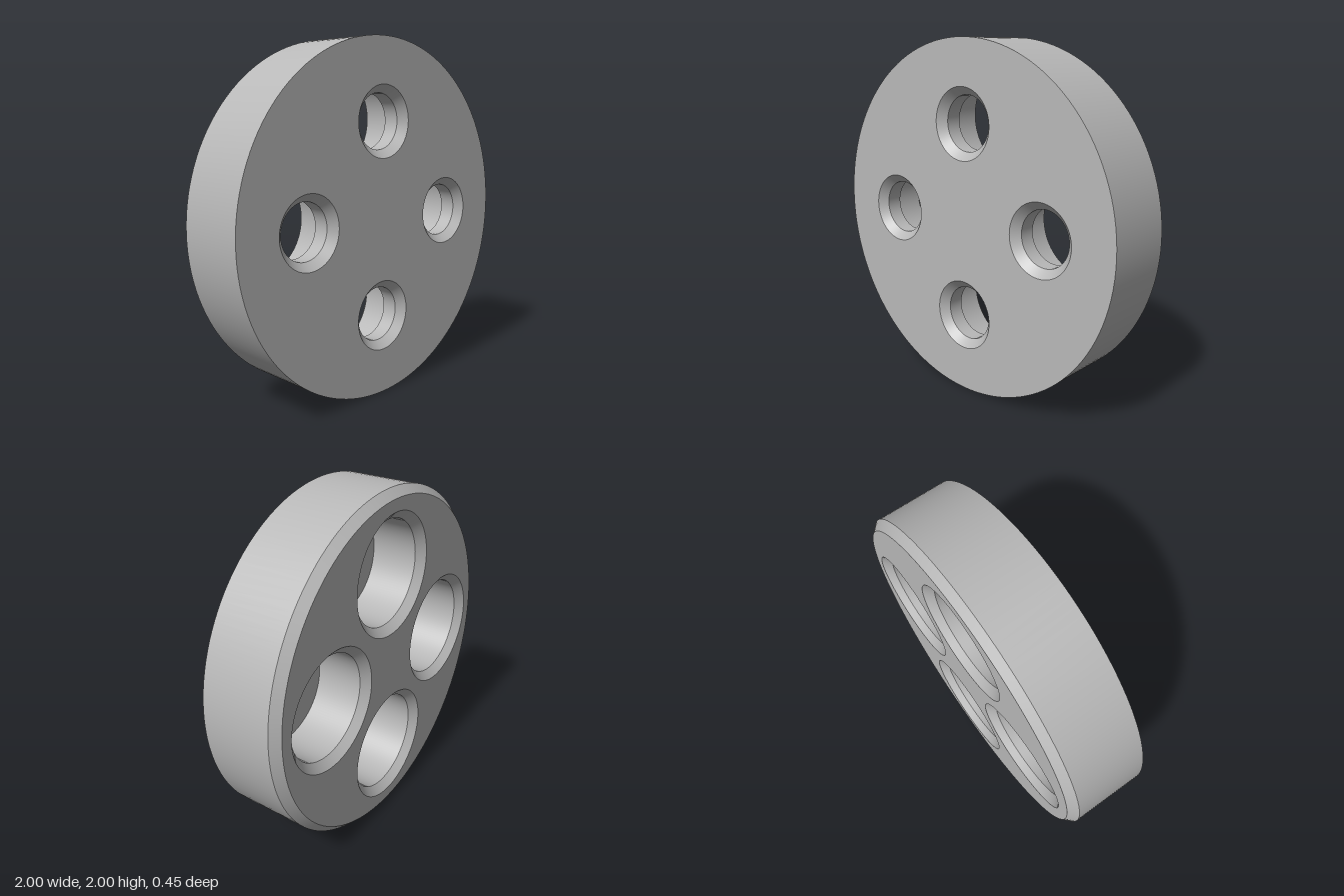
import * as THREE from 'three';
import { mergeGeometries } from 'three/addons/utils/BufferGeometryUtils.js';

const HALF = 0.227;      // half thickness
const BEVEL = 0.045;     // every chamfer
const HOLE_OFFSET = 0.545;
const SEGMENTS = 128;

// Revolves a profile of [radius, z] about z, keeping each corner sharp
function turned(profile) {
  const bands = profile.slice(1).map((end, i) =>
    new THREE.LatheGeometry([new THREE.Vector2(...profile[i]), new THREE.Vector2(...end)], SEGMENTS));
  return mergeGeometries(bands).rotateX(Math.PI / 2);
}

// Flat disc with four round openings, facing +z
function drilledFace(radius, holeRadius, centres) {
  const shape = new THREE.Shape().absarc(0, 0, radius, 0, Math.PI * 2, false);
  for (const [x, y] of centres) {
    shape.holes.push(new THREE.Path().absarc(x, y, holeRadius, 0, Math.PI * 2, true));
  }
  return new THREE.ShapeGeometry(shape, SEGMENTS / 2);
}

export function createModel() {
  const model = new THREE.Group();
  model.name = 'drilledDisc';
  const metal = new THREE.MeshStandardMaterial({ color: 0xb8b8b8 });
  metal.name = 'plain grey';

  const add = (name, geometry, x = 0, y = 0) => {
    const mesh = new THREE.Mesh(geometry, metal);
    mesh.name = name;
    mesh.position.set(x, y + 1, 0);
    model.add(mesh);
  };

  const centres = [[HOLE_OFFSET, 0], [0, HOLE_OFFSET], [-HOLE_OFFSET, 0], [0, -HOLE_OFFSET]];

  // Rim, chamfered at the back only
  add('rim', turned([[1 - BEVEL, -HALF], [1, BEVEL - HALF], [1, HALF]]));

  // Front and back faces
  add('frontFace', drilledFace(1, 0.2, centres).translate(0, 0, HALF));
  add('backFace', drilledFace(1 - BEVEL, 0.341, centres).rotateY(Math.PI).translate(0, 0, -HALF));

  // Stepped bolt holes: chamfer, narrow bore, seat, wide bore, chamfer
  const hole = turned([
    [0.2, HALF], [0.155, HALF - BEVEL], [0.155, 0.091],
    [0.295, 0.091], [0.295, BEVEL - HALF], [0.341, -HALF],
  ]);
  centres.forEach(([x, y], i) => add(`boltHole${i + 1}`, hole, x, y));

  return model;
}
